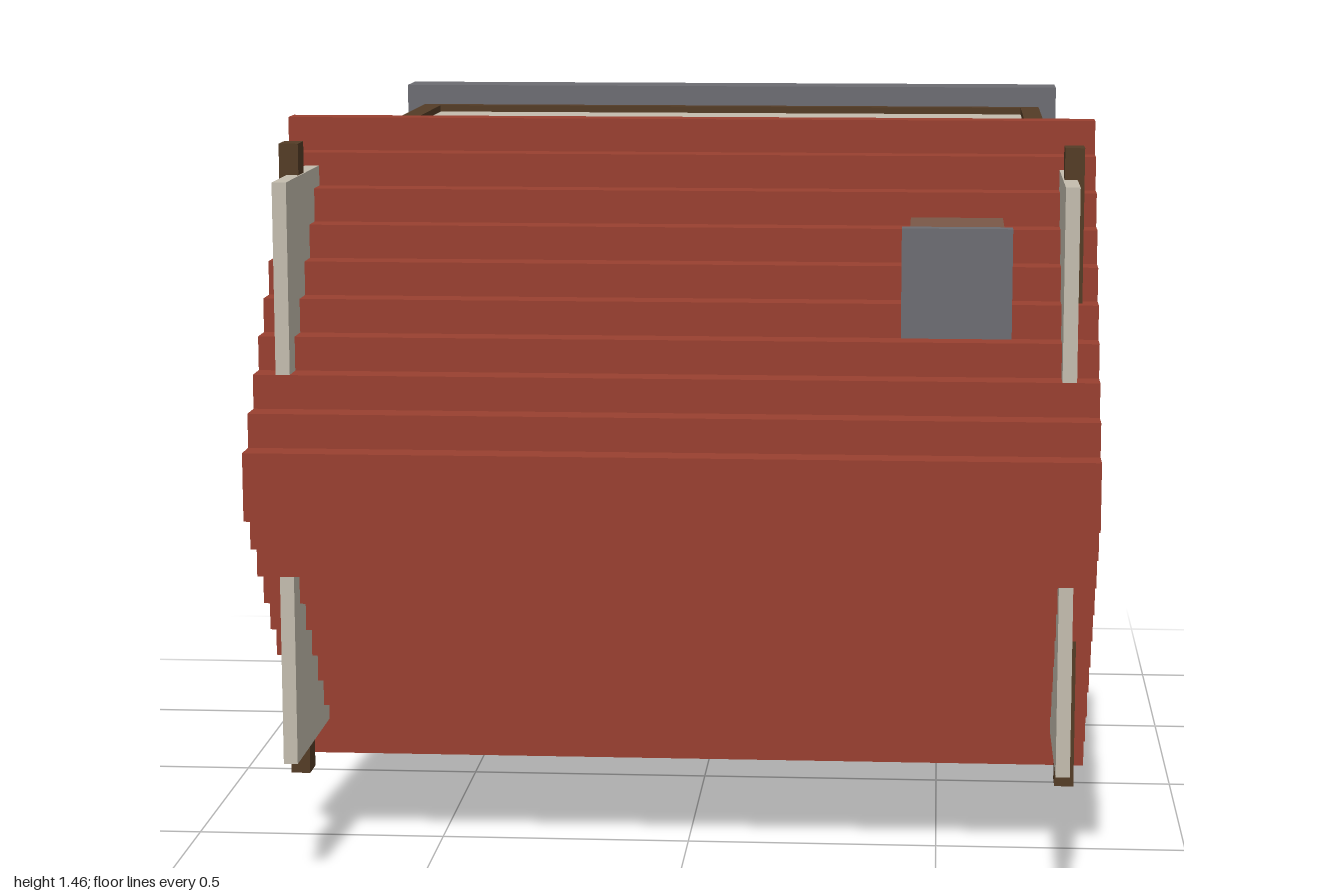
import * as THREE from 'three';

const materials = {};
const paint = (color) => (materials[color] ??= new THREE.MeshStandardMaterial({ color }));
const STONE = 0x6c6c72, WOOD = 0x543c26, PLASTER = 0xc4bdae, ROOF = 0x994030,
  PLANK = 0x805c3a, BRICK = 0x7a5848, RED = 0xbe3032, WHITE = 0xcdc8bc, IRON = 0x2a2a2c, DARK = 0x3a2a1a;

// Box given by its limits on each axis
function box(parent, name, color, [x0, x1], [y0, y1], [z0, z1]) {
  const mesh = new THREE.Mesh(new THREE.BoxGeometry(x1 - x0, y1 - y0, z1 - z0), paint(color));
  mesh.position.set((x0 + x1) / 2, (y0 + y1) / 2, (z0 + z1) / 2);
  mesh.name = name;
  parent.add(mesh);
  return mesh;
}

// Plaster block with timber beams along all twelve edges
function storey(name, xs, ys, zs, beam, recess) {
  const g = new THREE.Group();
  g.name = name;
  const inset = ([a, b], d) => [a + d, b - d];
  const ends = ([a, b], t) => [[a, a + t], [b - t, b]];
  box(g, 'plasterWalls', PLASTER, inset(xs, recess), inset(ys, recess), inset(zs, 0.006));
  const X = ends(xs, beam), Y = ends(ys, beam), Z = ends(zs, 0.034);
  for (let i = 0; i < 2; i++) {
    for (let j = 0; j < 2; j++) {
      box(g, 'cornerPost', WOOD, X[i], Y[j], zs);
      box(g, 'longBeam', WOOD, xs, Y[i], Z[j]);
      box(g, 'sideBeam', WOOD, X[i], ys, Z[j]);
    }
  }
  return g;
}

// The house lies on its facade: its own up is +z and its facade faces -y
export function createModel() {
  const model = new THREE.Group();
  model.name = 'shopHouse';

  box(model, 'foundation', STONE, [-0.762, 0.762], [0.193, 1.43], [-1, -0.885]);
  model.add(storey('lowerStorey', [-0.722, 0.722], [0.235, 1.385], [-0.885, -0.12], 0.042, 0.015));
  model.add(storey('upperStorey', [-0.75, 0.75], [0.209, 1.413], [-0.12, 0.41], 0.042, 0.015));

  // Stepped roof of ten courses
  const roof = new THREE.Group();
  roof.name = 'roof';
  model.add(roof);
  const step = 0.0647, rise = 0.059, mid = 0.811;
  for (let i = 0; i < 10; i++) {
    const half = step * (10 - i);
    box(roof, 'roofCourse', ROOF, [-0.794, 0.794], [mid - half, mid + half], [0.41 + i * rise, 0.41 + (i + 1) * rise]);
  }

  // Gable boards and cross posts that pass through the roof
  for (const s of [-1, 1]) {
    const span = (a, b) => [Math.min(s * a, s * b), Math.max(s * a, s * b)];
    box(model, 'gableBoard', PLASTER, span(0.724, 0.751), [0.25, 1.368], [0.41, 0.88]);
    box(model, 'gablePost', WOOD, span(0.727, 0.764), [0.193, 1.428], [0.678, 0.735]);
  }

  // Chimney
  box(model, 'chimneyStack', BRICK, [0.438, 0.615], [1.105, 1.28], [0.5, 0.88]);
  box(model, 'chimneyCap', STONE, [0.424, 0.628], [1.09, 1.294], [0.88, 0.913]);

  // Facade openings
  for (const x of [-0.35, 0.35]) {
    box(model, 'upperWindowFrame', WOOD, [x - 0.11, x + 0.11], [0.217, 0.24], [0.09, 0.29]);
    box(model, 'upperWindowPane', DARK, [x - 0.09, x + 0.09], [0.214, 0.24], [0.11, 0.27]);
  }
  box(model, 'door', DARK, [-0.6, -0.32], [0.242, 0.27], [-0.87, -0.24]);
  box(model, 'doorHandle', IRON, [-0.36, -0.335], [0.224, 0.25], [-0.632, -0.602]);
  box(model, 'shopWindow', DARK, [0, 0.53], [0.243, 0.27], [-0.72, -0.44]);
  box(model, 'counter', PLANK, [-0.01, 0.555], [0.12, 0.255], [-0.745, -0.72]);

  // Striped awning with two supports
  const stripe = 0.613 / 6;
  for (let i = 0; i < 6; i++) {
    const x = -0.05 + i * stripe;
    box(model, 'awningStripe', i % 2 ? WHITE : RED, [x, x + stripe], [0, 0.255], [-0.447, -0.405]);
  }
  for (const x of [0.005, 0.522]) {
    box(model, 'awningSupport', WOOD, [x - 0.01, x + 0.01], [0.09, 0.25], [-0.57, -0.549]);
  }

  // Hanging sign board under an iron bracket
  box(model, 'signBracket', IRON, [-0.684, -0.666], [0.105, 0.25], [-0.304, -0.286]);
  box(model, 'signHanger', IRON, [-0.68, -0.67], [0.13, 0.14], [-0.33, -0.3]);
  box(model, 'signBoard', PLANK, [-0.762, -0.588], [0.126, 0.143], [-0.445, -0.325]);

  return model;
}
